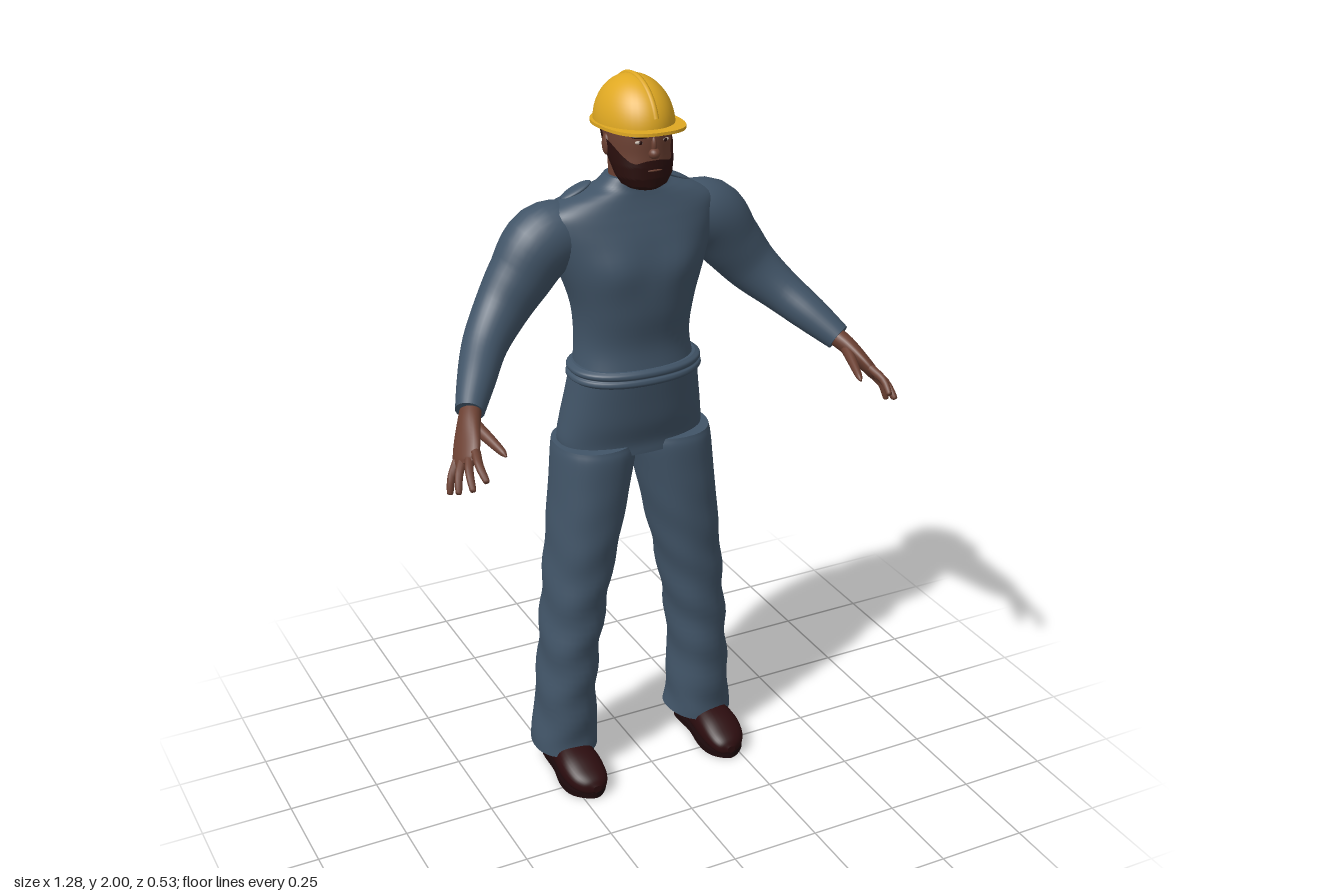
import * as THREE from 'three';
import { ParametricGeometry } from 'three/addons/geometries/ParametricGeometry.js';

const V = (x, y, z) => new THREE.Vector3(x, y, z);
const bell = (d, w) => Math.exp(-(d * d) / (w * w));

const paint = (name, color) => {
  const m = new THREE.MeshStandardMaterial({ color, side: THREE.DoubleSide });
  m.name = name;
  return m;
};

// Smooth closed body through rows of [x, y, z, radiusAcross, radiusOther]
function sweep(rows, { axis = null, ref = V(1, 0, 0), sides = 32, step = 5, pow = 2, rule = null } = {}) {
  const curve = (f) => new THREE.CatmullRomCurve3(rows.map(f), false, 'catmullrom', 0.5);
  const path = curve((r) => V(r[0], r[1], r[2]));
  const size = curve((r) => V(r[3], r[4], 0));
  const n = (rows.length - 1) * step;
  const pos = [], idx = [];
  const bend = (c) => Math.sign(c) * Math.abs(c) ** (2 / pow);
  for (let i = 0; i <= n; i++) {
    const p = path.getPoint(i / n), s = size.getPoint(i / n);
    const t = axis || path.getTangent(i / n);
    const u = ref.clone().addScaledVector(t, -ref.dot(t)).normalize();
    const w = u.clone().cross(t);
    for (let j = 0; j < sides; j++) {
      const a = (j / sides) * Math.PI * 2;
      const q = p.clone().addScaledVector(u, s.x * bend(Math.cos(a))).addScaledVector(w, s.y * bend(Math.sin(a)));
      if (rule) rule(q);
      pos.push(q.x, q.y, q.z);
    }
  }
  for (let i = 0; i < n; i++) for (let j = 0; j < sides; j++) {
    const k = (j + 1) % sides, a = i * sides + j, b = i * sides + k;
    idx.push(a, a + sides, b, b, a + sides, b + sides);
  }
  // End caps with their own corners, so the rim stays crisp
  for (const end of [0, n]) {
    const base = pos.length / 3, c = path.getPoint(end / n);
    pos.push(c.x, c.y, c.z, ...pos.slice(end * sides * 3, (end + 1) * sides * 3));
    for (let j = 0; j < sides; j++) {
      const a = base + 1 + j, b = base + 1 + ((j + 1) % sides);
      idx.push(base, end ? b : a, end ? a : b);
    }
  }
  const g = new THREE.BufferGeometry();
  g.setAttribute('position', new THREE.Float32BufferAttribute(pos, 3));
  g.setIndex(idx);
  g.computeVertexNormals();
  return g;
}

// Upright body from rows of [y, z, radiusX, radiusZ]
const UP = V(0, 1, 0);
const upright = (rows, opts = {}) => sweep(rows.map(([y, z, a, b]) => [0, y, z, a, b]), { axis: UP, ...opts });

export function createModel() {
  const root = new THREE.Group();
  root.name = 'worker';
  const cloth = paint('blue grey cloth', 0x415467);
  const skin = paint('brown skin', 0x6b4032);
  const hair = paint('dark hair', 0x2a0f0d);
  const leather = paint('shoe leather', 0x2c0d0f);
  const rubber = paint('shoe sole', 0x1c090b);
  const yellow = paint('helmet yellow', 0xdfa822);
  const thread = paint('stitching', 0x8c5a3c);
  const white = paint('eye white', 0xb5a89c);

  const add = (name, geo, mat, parent = root) => {
    const m = new THREE.Mesh(geo, mat);
    m.name = name;
    parent.add(m);
    return m;
  };
  const blob = (name, mat, p, s, parent = root) => {
    const m = add(name, new THREE.SphereGeometry(1, 20, 14), mat, parent);
    m.position.set(...p);
    m.scale.set(...s);
    return m;
  };

  // Shirt body with chest swell and spine groove
  add('shirt', upright([
    [1.21, -0.11, 0.168, 0.12], [1.3, -0.12, 0.157, 0.117], [1.4, -0.115, 0.167, 0.126],
    [1.5, -0.12, 0.2, 0.131], [1.58, -0.13, 0.23, 0.124], [1.63, -0.135, 0.243, 0.112],
    [1.66, -0.135, 0.235, 0.1], [1.685, -0.13, 0.19, 0.086], [1.702, -0.125, 0.14, 0.076],
    [1.717, -0.12, 0.096, 0.068], [1.742, -0.115, 0.07, 0.062],
  ], { sides: 48, pow: 2.25, rule: (q) => {
    if (q.z < -0.13) q.z += 0.016 * bell(q.x, 0.035) * bell(q.y - 1.5, 0.14);
    else q.z += 0.012 * bell(Math.abs(q.x) - 0.09, 0.06) * bell(q.y - 1.52, 0.06);
  } }), cloth);

  // Waistband made of two soft rolls
  add('waistband', upright([
    [1.198, -0.108, 0.176, 0.12], [1.206, -0.108, 0.186, 0.129], [1.216, -0.108, 0.185, 0.128],
    [1.221, -0.108, 0.179, 0.123], [1.227, -0.108, 0.184, 0.127], [1.236, -0.108, 0.183, 0.126],
    [1.243, -0.108, 0.17, 0.118],
  ], { sides: 48, pow: 2.25 }), cloth);

  // Seat of the trousers
  const hips = add('trouserSeat', upright([
    [0.985, -0.13, 0.2, 0.105], [1.02, -0.137, 0.208, 0.112], [1.08, -0.13, 0.199, 0.12],
    [1.15, -0.12, 0.187, 0.12], [1.22, -0.11, 0.176, 0.12],
  ], { sides: 56, pow: 2.25, rule: (q) => {
    if (q.z < -0.13) {
      q.z += 0.03 * bell(q.x, 0.022) * bell(q.y - 1.04, 0.08);
      q.z -= 0.018 * bell(Math.abs(q.x) - 0.085, 0.06) * bell(q.y - 1.06, 0.05);
    }
  } }), cloth);

  // Dashed stitching around the back pockets
  const ray = new THREE.Raycaster();
  const onSeat = (x, y) => {
    ray.set(V(x, y, -1), V(0, 0, 1));
    const hit = ray.intersectObject(hips)[0];
    return hit ? hit.point : V(x, y, -0.2);
  };
  const pocket = [[0.05, 1.15], [0.14, 1.145], [0.142, 1.08], [0.098, 1.055], [0.055, 1.08], [0.05, 1.15]];
  for (const s of [1, -1]) for (let e = 0; e < pocket.length - 1; e++) for (let d = 0; d < 5; d++) {
    const at = (f) => onSeat(s * THREE.MathUtils.lerp(pocket[e][0], pocket[e + 1][0], f),
      THREE.MathUtils.lerp(pocket[e][1], pocket[e + 1][1], f));
    add('pocketStitch', new THREE.TubeGeometry(new THREE.LineCurve3(at(d / 5), at((d + 0.6) / 5)), 1, 0.0014, 5), thread);
  }

  // One side of the limbs, mirrored for the other
  for (const s of [1, -1]) {
    const side = new THREE.Group();
    side.name = s > 0 ? 'leftLimbs' : 'rightLimbs';
    side.scale.x = s;
    root.add(side);

    // Trouser leg rows: y, outer x, inner x, z, radiusZ
    const leg = [
      [0.07, 0.308, 0.122, -0.135, 0.105], [0.15, 0.299, 0.128, -0.13, 0.103], [0.3, 0.286, 0.13, -0.125, 0.104],
      [0.45, 0.274, 0.113, -0.122, 0.106], [0.6, 0.261, 0.086, -0.122, 0.112], [0.7, 0.251, 0.064, -0.122, 0.117],
      [0.8, 0.242, 0.041, -0.123, 0.121], [0.9, 0.233, 0.019, -0.125, 0.121], [0.98, 0.227, 0.002, -0.127, 0.12],
      [1.012, 0.222, 0.002, -0.13, 0.115],
    ].map(([y, o, i, z, rz]) => [(o + i) / 2, y, z, (o - i) / 2, rz]);
    add('trouserLeg', sweep(leg, { axis: UP, pow: 2.2, step: 6, rule: (q) => {
      const fade = 0.0035 * THREE.MathUtils.clamp((0.95 - q.y) * 2, 0, 1);
      q.z += fade * Math.sin(q.y * 48 + q.x * 25);
      q.x += fade * Math.sin(q.y * 37 + q.z * 18);
    } }), cloth, side);

    // Shoe upper and sole
    add('shoe', sweep([
      [0.215, 0.045, -0.212, 0.03, 0.026], [0.217, 0.055, -0.185, 0.048, 0.045], [0.22, 0.056, -0.09, 0.052, 0.05],
      [0.222, 0.05, -0.01, 0.06, 0.046], [0.22, 0.041, 0.045, 0.054, 0.034], [0.216, 0.034, 0.075, 0.037, 0.024],
      [0.214, 0.03, 0.089, 0.012, 0.01],
    ], { axis: V(0, 0, 1), pow: 2.4, rule: (q) => { q.y = Math.max(q.y, 0.012); } }), leather, side);
    const outline = new THREE.Shape(new THREE.SplineCurve([
      [0.215, -0.21], [0.262, -0.19], [0.27, -0.09], [0.283, -0.01], [0.27, 0.05], [0.216, 0.088],
      [0.17, 0.05], [0.16, -0.01], [0.17, -0.09], [0.17, -0.19], [0.215, -0.21],
    ].map((p) => new THREE.Vector2(...p))).getPoints(50));
    const sole = new THREE.ExtrudeGeometry(outline, { depth: 0.018, bevelEnabled: false });
    sole.rotateX(Math.PI / 2).translate(0, 0.018, 0);
    add('shoeSole', sole, rubber, side);

    // Sleeve, bent at the elbow
    add('sleeve', sweep([
      [0.13, 1.595, -0.145, 0.08, 0.08], [0.235, 1.583, -0.145, 0.097, 0.09], [0.305, 1.5, -0.142, 0.086, 0.078],
      [0.365, 1.425, -0.128, 0.073, 0.066], [0.43, 1.358, -0.082, 0.059, 0.058], [0.485, 1.302, -0.008, 0.049, 0.049],
      [0.532, 1.252, 0.06, 0.037, 0.037],
    ], { ref: V(0.7, 0.7, 0) }), cloth, side);

    // Shoulder strap
    const strap = blob('shoulderStrap', cloth, [0.142, 1.704, -0.147], [0.046, 0.008, 0.024], side);
    strap.rotation.z = -0.42;

    // Palm, fingers and thumb
    const hand = new THREE.Group();
    hand.name = 'hand';
    side.add(hand);
    const across = V(-0.49, 0.55, 0.67);
    add('palm', sweep([
      [0.522, 1.26, 0.045, 0.028, 0.026], [0.545, 1.236, 0.085, 0.035, 0.024], [0.57, 1.2, 0.13, 0.045, 0.019],
      [0.585, 1.175, 0.16, 0.043, 0.015], [0.591, 1.167, 0.171, 0.032, 0.008],
    ], { ref: across, sides: 20 }), skin, hand);
    const tips = [[0.572, 1.155, 0.262], [0.602, 1.13, 0.245], [0.625, 1.11, 0.206], [0.631, 1.09, 0.16]];
    tips.forEach((tip, i) => {
      const a = V(0.582, 1.18, 0.155).addScaledVector(across, 0.033 - 0.022 * i), b = V(...tip);
      const mid = a.clone().lerp(b, 0.5).add(V(0.006, 0.006, 0.003));
      const end = mid.clone().lerp(b, 0.9);
      add('finger', sweep([[...a, 0.0125, 0.0125], [...mid, 0.0105, 0.0105], [...end, 0.008, 0.008], [...b, 0.003, 0.003]],
        { ref: across, sides: 10, step: 3 }), skin, hand);
    });
    add('thumb', sweep([[0.538, 1.234, 0.09, 0.018, 0.016], [0.523, 1.217, 0.15, 0.015, 0.013],
      [0.509, 1.2, 0.205, 0.01, 0.009], [0.505, 1.193, 0.223, 0.003, 0.003]], { ref: across, sides: 12 }), skin, hand);

    // Ear, eye and eyebrow
    blob('ear', skin, [0.083, 1.832, -0.088], [0.009, 0.027, 0.017], side);
    blob('eye', white, [0.034, 1.853, 0.002], [0.013, 0.005, 0.007], side);
    blob('pupil', hair, [0.034, 1.853, 0.007], [0.005, 0.005, 0.003], side);
    const brow = blob('eyebrow', hair, [0.035, 1.867, 0.005], [0.021, 0.004, 0.006], side);
    brow.rotation.y = 0.35;
  }

  // Neck and head
  add('neck', upright([[1.7, -0.115, 0.06, 0.054], [1.76, -0.114, 0.061, 0.055], [1.84, -0.11, 0.066, 0.068]]), skin);
  const headRows = [
    [1.728, -0.042, 0.035, 0.038], [1.738, -0.043, 0.054, 0.052], [1.76, -0.046, 0.068, 0.06], [1.79, -0.058, 0.075, 0.073],
    [1.82, -0.077, 0.08, 0.091], [1.86, -0.086, 0.083, 0.1], [1.9, -0.09, 0.08, 0.098], [1.94, -0.09, 0.06, 0.075],
  ];
  add('head', upright(headRows), skin);
  blob('nose', skin, [0, 1.824, 0.014], [0.015, 0.014, 0.017]);
  blob('noseBridge', skin, [0, 1.845, 0.01], [0.008, 0.022, 0.012]);

  // Hair and beard follow the head surface, slightly raised
  const onHead = (y, angle, lift, out) => {
    let i = 0;
    while (i < headRows.length - 2 && y > headRows[i + 1][0]) i++;
    const [a, b] = [headRows[i], headRows[i + 1]];
    const f = (y - a[0]) / (b[0] - a[0]);
    const [z, rx, rz] = [1, 2, 3].map((k) => a[k] + (b[k] - a[k]) * f);
    out.set((rx + lift) * Math.sin(angle), y, z + (rz + lift) * Math.cos(angle));
  };
  add('beard', new ParametricGeometry((u, v, out) => {
    const angle = (u - 0.5) * 3.7;
    const top = 1.808 - 0.008 * bell(Math.abs(angle) - 0.6, 0.25) + 0.04 * THREE.MathUtils.smoothstep(Math.abs(angle), 0.7, 1.5);
    onHead(1.726 + (top - 1.726) * v, angle, 0.006, out);
  }, 40, 20), hair);
  blob('chinBeard', hair, [0, 1.733, -0.042], [0.05, 0.011, 0.048]);
  blob('mouth', skin, [0, 1.782, 0.019], [0.02, 0.003, 0.004]);
  add('hair', new ParametricGeometry((u, v, out) => onHead(1.828 + 0.07 * v, 1.75 + u * (2 * Math.PI - 3.5), 0.005, out), 32, 8), hair);

  // Safety helmet: dome, peaked brim and centre ridge
  const helmet = new THREE.Group();
  helmet.name = 'helmet';
  helmet.position.set(0, 1.877, -0.1);
  helmet.rotation.x = -0.05;
  root.add(helmet);
  const dome = add('helmetDome', new THREE.SphereGeometry(1, 40, 16, 0, Math.PI * 2, 0, Math.PI / 2), yellow, helmet);
  dome.scale.set(0.096, 0.121, 0.133);
  const rim = [];
  for (let i = 0; i < 64; i++) {
    const a = (i / 64) * Math.PI * 2, c = Math.cos(a), d = Math.sin(a);
    const p = d > 0 ? 2 / 2.7 : 1;
    rim.push(new THREE.Vector2(0.104 * Math.sign(c) * Math.abs(c) ** p, d > 0 ? 0.168 * d ** p : 0.137 * d));
  }
  const brim = new THREE.ExtrudeGeometry(new THREE.Shape(rim), { depth: 0.008, bevelEnabled: false });
  brim.rotateX(Math.PI / 2).translate(0, 0.006, 0);
  add('helmetBrim', brim, yellow, helmet);
  const arc = [];
  for (let i = 0; i <= 16; i++) {
    const a = 0.25 + (i / 16) * (Math.PI - 0.5);
    arc.push(V(0, 0.119 * Math.sin(a), 0.131 * Math.cos(a)));
  }
  add('helmetRidge', new THREE.TubeGeometry(new THREE.CatmullRomCurve3(arc), 40, 0.0075, 8), yellow, helmet);

  return root;
}
